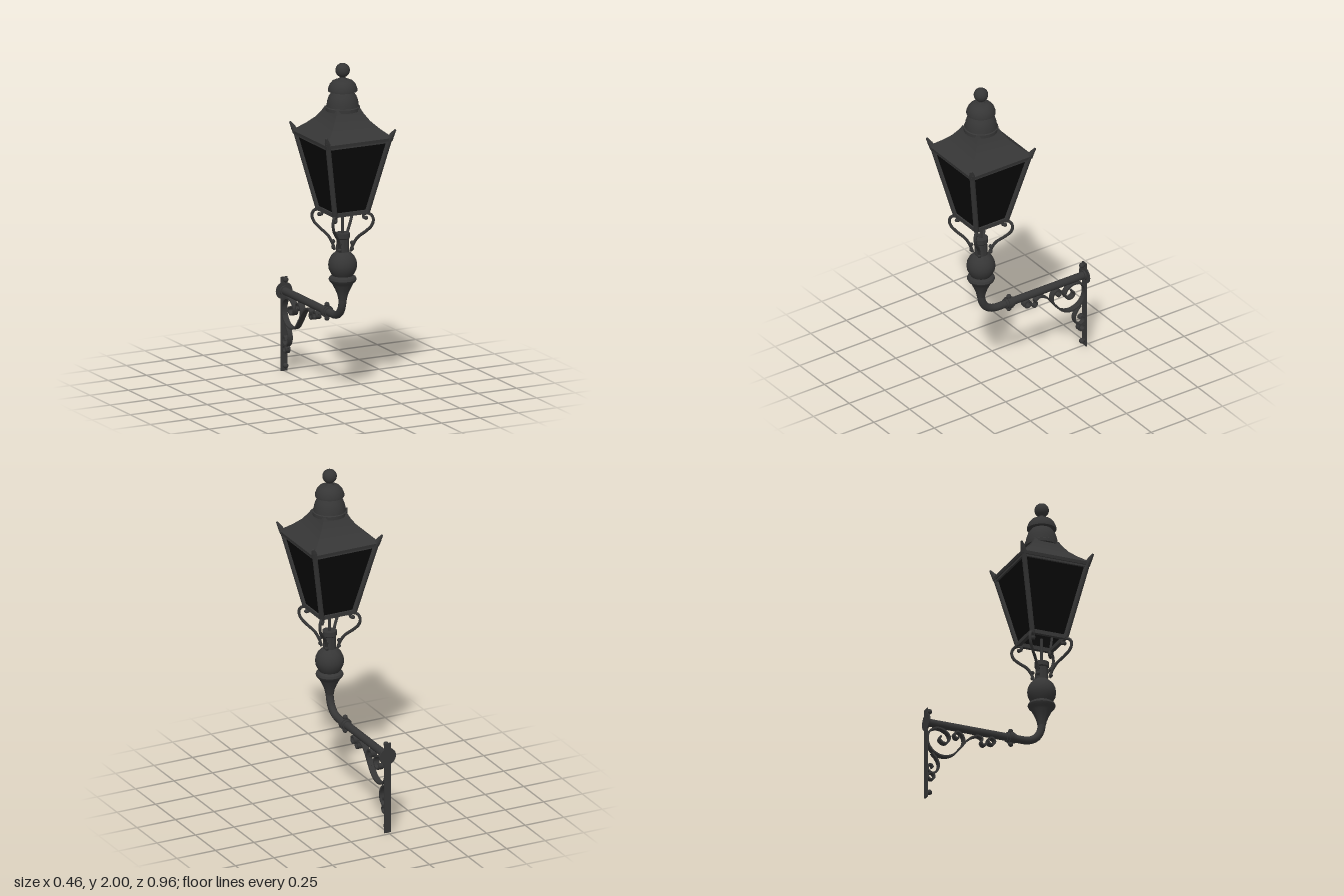
import * as THREE from 'three';
import { toCreasedNormals } from 'three/addons/utils/BufferGeometryUtils.js';

const iron = new THREE.MeshStandardMaterial({ color: 0x363636 });
iron.name = 'cast iron';
const glass = new THREE.MeshStandardMaterial({ color: 0x090909, side: THREE.DoubleSide });
glass.name = 'dark glass';

const LZ = 0.25;     // lantern axis
const ARM_Y = 0.477; // wall arm height
const v = (x, y, z) => new THREE.Vector3(x, y, z);

function add(parent, name, geo, mat = iron) {
  const m = new THREE.Mesh(geo, mat);
  m.name = name;
  parent.add(m);
  return m;
}

// Turned part from [radius, y] pairs, bottom to top
function turned(profile, segs = 32) {
  const g = new THREE.LatheGeometry(profile.map(p => new THREE.Vector2(...p)), segs);
  return toCreasedNormals(g, 0.6);
}

// Square part from [half width, y] pairs, bottom to top
function squareTurned(profile) {
  const pts = profile.map(([h, y]) => new THREE.Vector2(h * Math.SQRT2, y));
  return toCreasedNormals(new THREE.LatheGeometry(pts, 4, Math.PI / 4), 0.3);
}

// Straight bar between two points
function bar(a, b, r0, r1 = r0, segs = 12) {
  const g = new THREE.CylinderGeometry(r1, r0, a.distanceTo(b), segs);
  const q = new THREE.Quaternion().setFromUnitVectors(v(0, 1, 0), b.clone().sub(a).normalize());
  return g.applyQuaternion(q).translate(...a.clone().add(b).multiplyScalar(0.5).toArray());
}

// Flat strip bent along [z, y] points in the plane of the arm
function strip(points, width) {
  const path = new THREE.CatmullRomCurve3(points.map(([z, y]) => v(0, y, z)));
  const w = width / 2, t = 0.005;
  const section = new THREE.Shape([[-w, -t], [w, -t], [w, t], [-w, t]].map(p => new THREE.Vector2(...p)));
  const g = new THREE.ExtrudeGeometry(section, { steps: points.length * 5, extrudePath: path });
  return toCreasedNormals(g, 0.7);
}

function curl(z, y, r) {
  const pts = [];
  for (let i = 0; i <= 14; i++) {
    const a = 0.3 + i / 14 * Math.PI * 2;
    pts.push([z + r * Math.cos(a), y + r * Math.sin(a)]);
  }
  return pts;
}

function buildLantern() {
  const g = new THREE.Group();
  g.name = 'lantern';
  g.position.z = LZ;

  add(g, 'glassPanes', squareTurned([[0.102, 1.13], [0.196, 1.565]]), glass);
  add(g, 'roof', squareTurned([[0.185, 1.56], [0.213, 1.56], [0.217, 1.578], [0.2, 1.592],
    [0.155, 1.63], [0.118, 1.668], [0.09, 1.71], [0.075, 1.74]]));

  // Stepped chimney cap and ball finial
  add(g, 'chimneyCap', turned([[0.07, 1.722], [0.1, 1.722], [0.1, 1.742], [0.094, 1.746], [0.09, 1.775],
    [0.08, 1.805], [0.064, 1.828], [0.06, 1.834], [0.085, 1.836], [0.085, 1.848], [0.075, 1.875],
    [0.06, 1.893], [0.045, 1.9], [0.025, 1.904], [0.017, 1.915], [0.02, 1.93]]));
  add(g, 'ballFinial', new THREE.SphereGeometry(0.042, 28, 18).translate(0, 1.958, 0));

  for (let i = 0; i < 4; i++) {
    const side = new THREE.Group();
    side.name = 'lanternSide';
    side.rotation.y = i * Math.PI / 2;
    g.add(side);

    // Frame rails and corner bar
    add(side, 'bottomRail', new THREE.BoxGeometry(0.228, 0.024, 0.022).translate(0, 1.128, 0.103));
    add(side, 'topRail', new THREE.BoxGeometry(0.41, 0.016, 0.012).translate(0, 1.556, 0.2));
    add(side, 'cornerBar', bar(v(0.104, 1.12, 0.104), v(0.2, 1.57, 0.2), 0.016, 0.016, 8));

    // Corner horn
    add(side, 'hornBase', bar(v(0.197, 1.565, 0.197), v(0.212, 1.598, 0.212), 0.02, 0.014));
    add(side, 'hornTip', bar(v(0.21, 1.595, 0.21), v(0.225, 1.628, 0.225), 0.015, 0.006));

    // Scrolled support on the diagonal
    const path = [[0.1, 1.088], [0.089, 1.092], [0.089, 1.108], [0.103, 1.118], [0.121, 1.112], [0.131, 1.085],
      [0.124, 1.048], [0.1, 1.012], [0.064, 0.97], [0.044, 0.925], [0.034, 0.885]];
    const curve = new THREE.CatmullRomCurve3(path.map(([d, y]) => v(d, y, d)));
    add(side, 'scrollSupport', new THREE.TubeGeometry(curve, 48, 0.009, 8));
    add(side, 'scrollEnd', new THREE.SphereGeometry(0.012, 12, 8).translate(0.1, 1.09, 0.1));
    for (const y of [0.9, 0.935])
      add(side, 'supportBolt', new THREE.SphereGeometry(0.012, 10, 8).translate(0.04, y, 0.04));
  }
  add(g, 'gasPipe', bar(v(0, 0.97, 0), v(0, 1.14, 0), 0.009));

  // Turned post below the lantern
  add(g, 'post', turned([[0.024, 0.59], [0.03, 0.62], [0.042, 0.65], [0.057, 0.68], [0.064, 0.692],
    [0.075, 0.702], [0.081, 0.715], [0.076, 0.728], [0.06, 0.738], [0.068, 0.75], [0.08, 0.775],
    [0.084, 0.8], [0.08, 0.826], [0.068, 0.852], [0.05, 0.87], [0.038, 0.88], [0.036, 0.955],
    [0.042, 0.962], [0.042, 0.99], [0.025, 0.99], [0, 0.988]]));
  return g;
}

function buildBracket() {
  const g = new THREE.Group();
  g.name = 'wallBracket';

  // Pipe with quarter bend
  const path = new THREE.CurvePath();
  path.add(new THREE.LineCurve3(v(0, ARM_Y, -0.475), v(0, ARM_Y, 0.13)));
  path.add(new THREE.CubicBezierCurve3(v(0, ARM_Y, 0.13), v(0, ARM_Y, 0.205),
    v(0, 0.525, LZ), v(0, 0.605, LZ)));
  add(g, 'armPipe', new THREE.TubeGeometry(path, 64, 0.023, 16));

  // Pipe joint with a knob above and below
  add(g, 'joint', bar(v(0, ARM_Y, 0.027), v(0, ARM_Y, 0.083), 0.029, 0.029, 20));
  add(g, 'jointBand', bar(v(0, ARM_Y, 0.042), v(0, ARM_Y, 0.068), 0.036, 0.036, 20));
  for (const s of [-1, 1])
    add(g, 'jointKnob', new THREE.SphereGeometry(0.015, 14, 10).translate(0, ARM_Y + s * 0.041, 0.055));

  // Wall plate, flange and bolts
  add(g, 'wallPlate', new THREE.BoxGeometry(0.042, 0.56, 0.007).translate(0, 0.28, -0.4765));
  add(g, 'flange', bar(v(0, ARM_Y, -0.48), v(0, ARM_Y, -0.472), 0.052, 0.052, 28));
  add(g, 'flangeHub', bar(v(0, ARM_Y, -0.472), v(0, ARM_Y, -0.462), 0.03, 0.03, 20));
  for (const y of [0.035, 0.547]) {
    add(g, 'boltHead', new THREE.SphereGeometry(0.016, 14, 10).translate(0, y, -0.456));
    add(g, 'boltShank', bar(v(0, y, -0.476), v(0, y, -0.456), 0.009));
  }

  // Ornamental strip scrolls
  add(g, 'mainScroll', strip([[-0.1, 0.415], [-0.108, 0.396], [-0.124, 0.395], [-0.134, 0.41], [-0.126, 0.43],
    [-0.15, 0.445], [-0.185, 0.435], [-0.222, 0.405], [-0.262, 0.352], [-0.312, 0.297], [-0.37, 0.276],
    [-0.43, 0.292], [-0.466, 0.335], [-0.471, 0.39], [-0.447, 0.433], [-0.4, 0.449], [-0.352, 0.432],
    [-0.333, 0.4], [-0.347, 0.367], [-0.375, 0.361], [-0.395, 0.38], [-0.388, 0.402]], 0.036));
  add(g, 'innerScroll', strip([[-0.275, 0.42], [-0.282, 0.405], [-0.298, 0.412], [-0.303, 0.43],
    [-0.286, 0.447], [-0.258, 0.437], [-0.243, 0.405], [-0.25, 0.37], [-0.272, 0.342]], 0.036));
  add(g, 'lowerScroll', strip([[-0.443, 0.286], [-0.415, 0.255], [-0.4, 0.215], [-0.413, 0.175],
    [-0.442, 0.158], [-0.468, 0.174], [-0.467, 0.204], [-0.447, 0.21], [-0.438, 0.192]], 0.03));
  add(g, 'armCurl', strip(curl(-0.069, 0.428, 0.021), 0.036));
  add(g, 'wallCurl', strip(curl(-0.449, 0.137, 0.021), 0.03));
  return g;
}

export function createModel() {
  const model = new THREE.Group();
  model.name = 'wallLantern';
  model.add(buildLantern(), buildBracket());
  return model;
}
